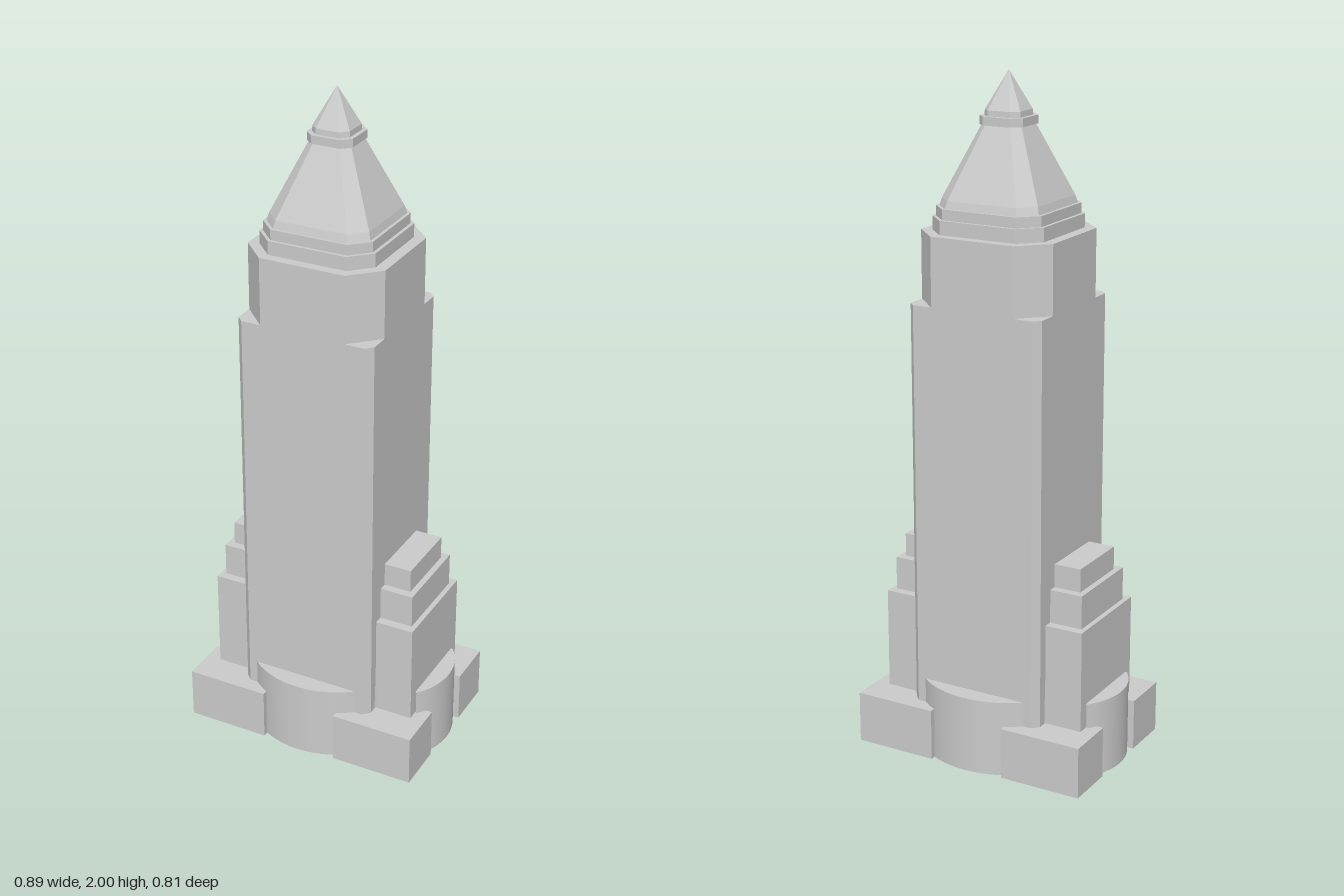
import * as THREE from 'three';

const material = new THREE.MeshStandardMaterial({ color: 0xcccccc });

// Rectangle with chamfered corners, as [x, z] pairs running from +x towards +z
function chamferedRing(hx, hz, c) {
  return [
    [hx, -hz + c], [hx, hz - c], [hx - c, hz], [-hx + c, hz],
    [-hx, hz - c], [-hx, -hz + c], [-hx + c, -hz], [hx - c, -hz],
  ];
}

// Closed, flat-faced solid through levels of [y, halfX, halfZ, chamfer]
function loft(levels) {
  const rings = levels.map(([y, hx, hz, c]) => chamferedRing(hx, hz, c).map(([x, z]) => [x, y, z]));
  const pos = [];
  const tri = (a, b, c) => pos.push(...a, ...b, ...c);
  const last = rings.length - 1;
  const bottom = [0, levels[0][0], 0];
  const top = [0, levels[last][0], 0];
  for (let i = 0; i < 8; i++) {
    const j = (i + 1) % 8;
    for (let k = 0; k < last; k++) {
      const lo = rings[k], hi = rings[k + 1];
      tri(lo[i], hi[i], lo[j]);
      tri(lo[j], hi[i], hi[j]);
    }
    tri(bottom, rings[0][i], rings[0][j]);
    tri(top, rings[last][j], rings[last][i]);
  }
  const geometry = new THREE.BufferGeometry();
  geometry.setAttribute('position', new THREE.Float32BufferAttribute(pos, 3));
  geometry.computeVertexNormals();
  return geometry;
}

export function createModel() {
  const model = new THREE.Group();
  model.name = 'tower';
  // The whole plan is turned about the vertical axis
  const plan = new THREE.Group();
  plan.name = 'turnedPlan';
  plan.rotation.y = -THREE.MathUtils.degToRad(29.5);
  model.add(plan);

  const add = (name, geometry, x = 0, y = 0, z = 0) => {
    const mesh = new THREE.Mesh(geometry, material);
    mesh.name = name;
    mesh.position.set(x, y, z);
    plan.add(mesh);
    return mesh;
  };
  const box = (name, x0, x1, y0, y1, z0, z1) =>
    add(name, new THREE.BoxGeometry(x1 - x0, y1 - y0, z1 - z0),
      (x0 + x1) / 2, (y0 + y1) / 2, (z0 + z1) / 2);

  // Low blocks at the four corners of the base
  for (const sx of [-1, 1]) {
    for (const sz of [-1, 1]) {
      const x = [0.118 * sx, 0.37 * sx].sort((a, b) => a - b);
      const z = [0.101 * sz, 0.254 * sz].sort((a, b) => a - b);
      box('cornerBlock', x[0], x[1], 0, 0.155, z[0], z[1]);
    }
  }

  // Round drum that bulges out of the two broad sides
  add('baseDrum', new THREE.CylinderGeometry(0.265, 0.265, 0.23, 64), 0, 0.115, 0);

  // Curved bays at the two ends
  for (const s of [-1, 1]) {
    const arc = THREE.MathUtils.degToRad(80);
    add('endBay',
      new THREE.CylinderGeometry(0.2, 0.2, 0.23, 24, 1, false, s * Math.PI / 2 - arc / 2, arc),
      s * 0.177, 0.115, 0);
  }

  // Stepped piers running through both ends of the shaft
  const steps = [[0, 0.46, 0.326, 0.157], [0.46, 0.56, 0.311, 0.13], [0.56, 0.63, 0.293, 0.105]];
  for (const s of [-1, 1]) {
    for (const [y0, y1, x, z] of steps) {
      const xs = s > 0 ? [0.19, x] : [-x, -0.19];
      box('steppedPier', xs[0], xs[1], y0, y1, -z, z);
    }
  }

  // Shaft, and its more deeply chamfered head
  add('shaft', loft([[0, 0.21, 0.207, 0.02], [1.36, 0.21, 0.207, 0.02]]));
  add('shaftHead', loft([[1.36, 0.21, 0.207, 0.08], [1.56, 0.21, 0.207, 0.08]]));

  // Setbacks under the roof
  add('lowerSetback', loft([[1.56, 0.177, 0.177, 0.058], [1.6, 0.177, 0.177, 0.058]]));
  add('upperSetback', loft([[1.6, 0.167, 0.167, 0.051], [1.63, 0.167, 0.167, 0.051]]));

  // Sloping roof, collar and pointed cap
  add('roof', loft([[1.63, 0.158, 0.158, 0.045], [1.652, 0.152, 0.152, 0.044], [1.86, 0.06, 0.06, 0.022]]));
  add('collar', loft([[1.853, 0.069, 0.069, 0.026], [1.877, 0.069, 0.069, 0.026]]));
  add('cap', loft([[1.877, 0.057, 0.057, 0.021], [1.893, 0.056, 0.056, 0.021], [2, 0.0005, 0.0005, 0.0002]]));

  return model;
}
